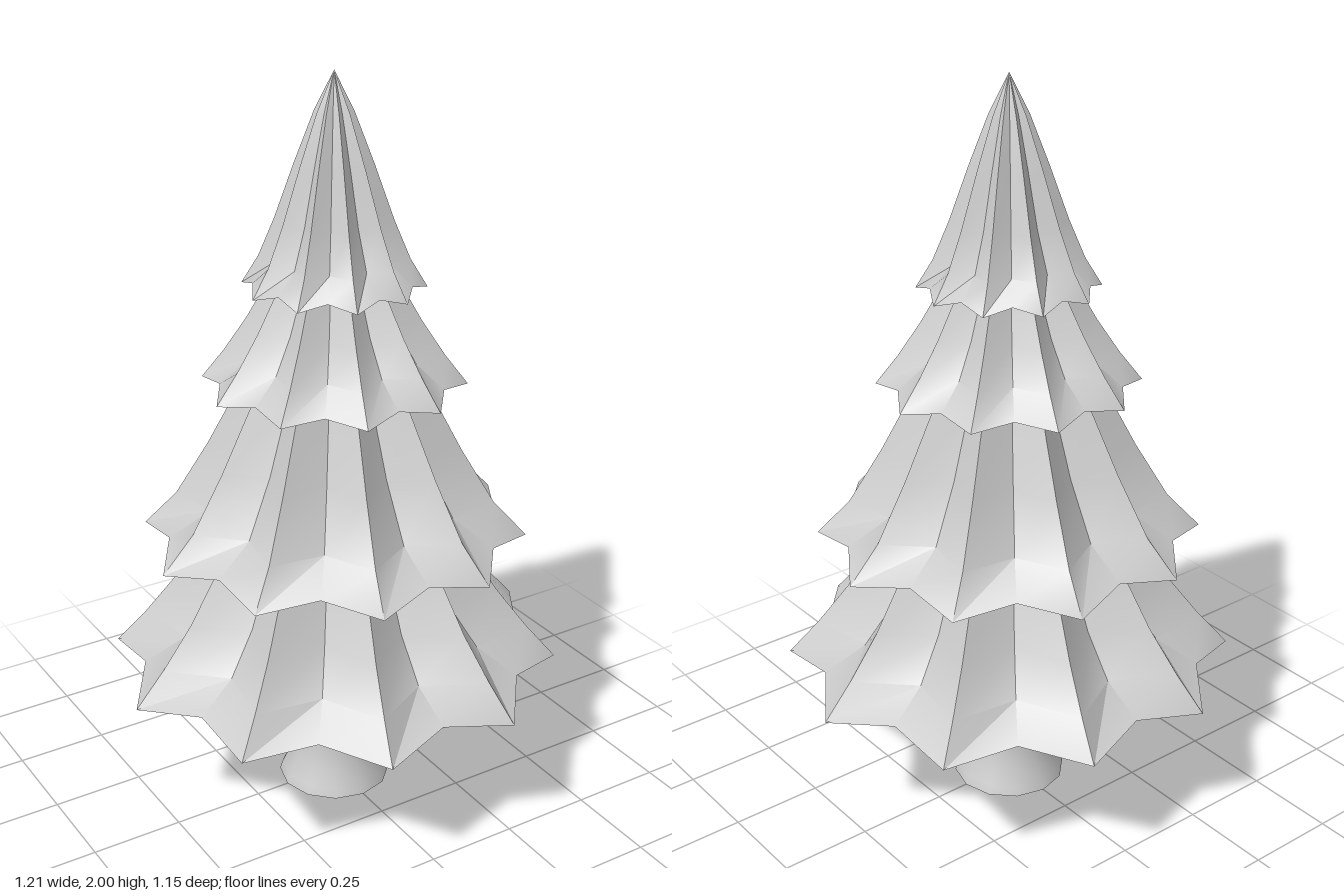
import * as THREE from 'three';
import { toCreasedNormals } from 'three/addons/utils/BufferGeometryUtils.js';

const material = new THREE.MeshStandardMaterial({ color: 0xcccccc });
const POINTS = 10;

// Pleated shell from star-shaped rings: [tip radius, tip height, valley radius, valley height]
function pleatedShell(rings) {
  const n = POINTS * 2;
  const positions = [];
  const corner = (i, j) => {
    const [rt, yt, rv, yv] = rings[i];
    const a = ((j % n) / n) * Math.PI * 2;
    const tip = j % 2 === 0;
    const r = tip ? rt : rv;
    return [r * Math.cos(a), tip ? yt : yv, r * Math.sin(a)];
  };
  for (let i = 0; i < rings.length - 1; i++) {
    for (let j = 0; j < n; j++) {
      const a = corner(i, j), b = corner(i, j + 1);
      const c = corner(i + 1, j), d = corner(i + 1, j + 1);
      if (rings[i][0] > 0) positions.push(...a, ...c, ...b);
      if (rings[i + 1][0] > 0) positions.push(...b, ...c, ...d);
    }
  }
  const geometry = new THREE.BufferGeometry();
  geometry.setAttribute('position', new THREE.Float32BufferAttribute(positions, 3));
  return toCreasedNormals(geometry, 0.6);
}

// One tier: hollow underside, thick rim, then the outer profile up to its top.
// The pleats are shallow at the rim and deepen just above it.
function tier(profile, rimRatio, lift) {
  const [r0, y0] = profile[0];
  const yTop = profile[profile.length - 1][1];
  const ratios = [rimRatio, 0.785];
  const outer = profile.map(([r, y], i) =>
    [r, y, r * (ratios[i] ?? 0.75), i === 0 ? y + lift : y]);
  const innerY = y0 + (yTop - y0) * 0.38;
  const inner = [
    [0, innerY, 0, innerY],
    [r0 * 0.28, innerY, r0 * 0.25, innerY],
    [r0 * 0.86, y0, r0 * 0.86 * rimRatio, y0 + lift * 0.8],
  ];
  return pleatedShell([...inner, ...outer]);
}

export function createModel() {
  const tree = new THREE.Group();
  tree.name = 'pineTree';
  const add = (name, geometry) => {
    const mesh = new THREE.Mesh(geometry, material);
    mesh.name = name;
    tree.add(mesh);
  };

  // Trunk with a flared foot
  const trunkProfile = [[0, 0], [0.155, 0], [0.147, 0.025], [0.122, 0.075], [0.112, 0.15], [0.106, 0.42], [0.1, 0.75]]
    .map(([r, y]) => new THREE.Vector2(r, y));
  add('trunk', toCreasedNormals(new THREE.LatheGeometry(trunkProfile, 12), 0.7));

  // Foliage tiers from the bottom up
  const tiers = [
    ['bottomTier', [[0.607, 0.398], [0.525, 0.49], [0.44, 0.6], [0.33, 0.78], [0.22, 0.98], [0, 1.1]], 0.866, 0.03],
    ['lowerMiddleTier', [[0.513, 0.768], [0.425, 0.86], [0.335, 1.01], [0.235, 1.2], [0.15, 1.36], [0, 1.45]], 0.87, 0.026],
    ['upperMiddleTier', [[0.345, 1.198], [0.285, 1.275], [0.225, 1.365], [0.165, 1.47], [0.1, 1.6], [0, 1.68]], 0.87, 0.018],
    ['topTier', [[0.236, 1.458], [0.192, 1.53], [0.15, 1.63], [0.1, 1.77], [0.05, 1.9], [0, 2]], 0.89, 0.02],
  ];
  for (const [name, profile, ratio, lift] of tiers) add(name, tier(profile, ratio, lift));

  return tree;
}
